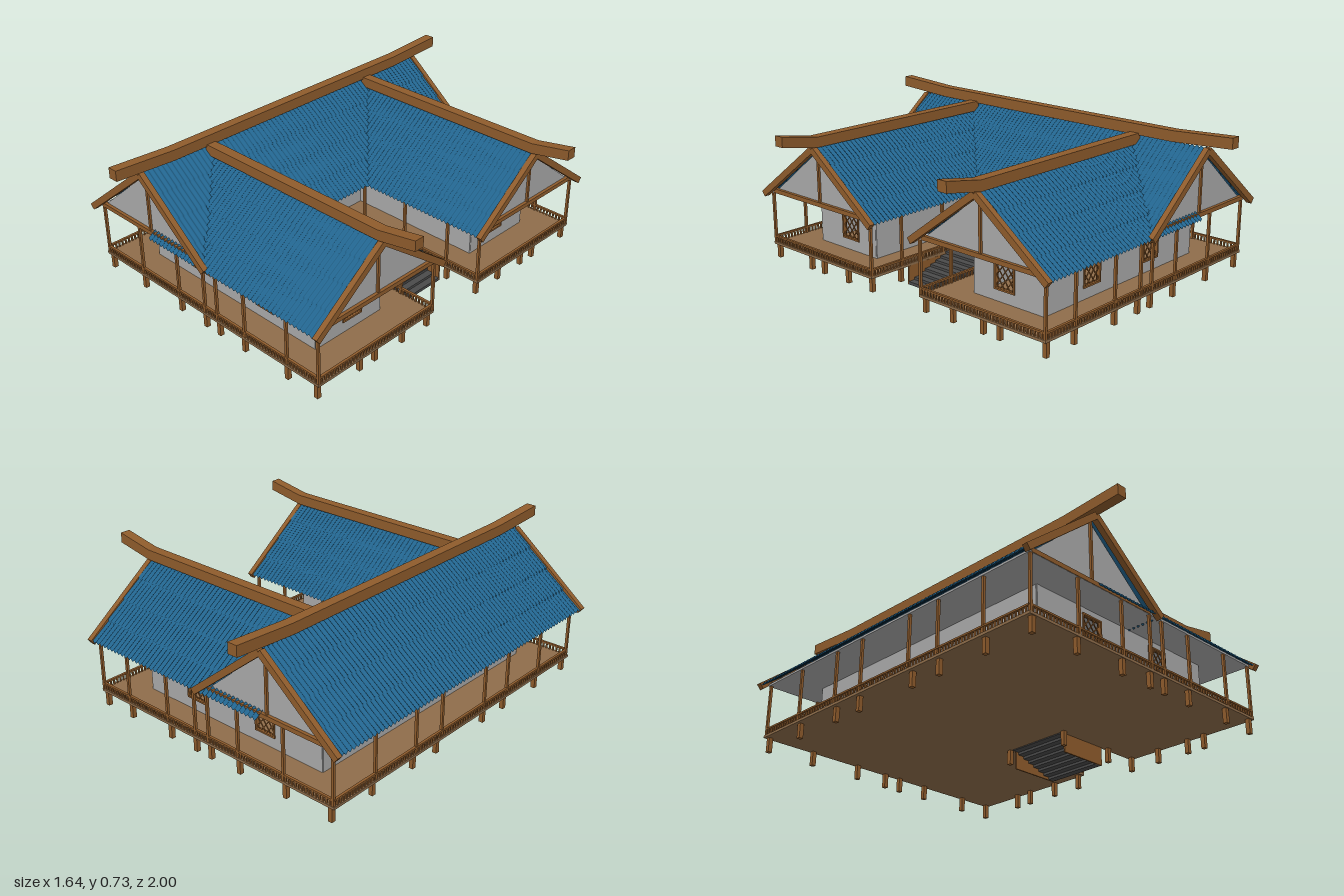
import * as THREE from 'three';
import { mergeGeometries } from 'three/addons/utils/BufferGeometryUtils.js';

const mat = (color, side = THREE.FrontSide) => new THREE.MeshStandardMaterial({ color, side });
const wood = mat(0x8f5c2c), boards = mat(0x8f6d4a), plaster = mat(0xaaaaaa), stone = mat(0x4a4a4a);
const tiles = mat(0x22658f, THREE.DoubleSide);
const MX = -0.42, WZ = 0.497; // ridge line of the main hall (x) and of the wings (z)

export function createModel() {
  const root = new THREE.Group();

  const add = (name, geo, material, parent = root) => {
    const m = new THREE.Mesh(geo, material);
    m.name = name;
    parent.add(m);
    return m;
  };
  const box = (w, h, d, x, y, z) => new THREE.BoxGeometry(w, h, d).translate(x, y, z);
  // Box running from p to q
  const bar = (p, q, w, h) => {
    const a = new THREE.Vector3(...p), b = new THREE.Vector3(...q), o = new THREE.Object3D();
    o.position.copy(a).lerp(b, 0.5);
    o.lookAt(b);
    o.updateMatrix();
    return new THREE.BoxGeometry(w, h, a.distanceTo(b)).applyMatrix4(o.matrix);
  };
  const polygon = (pts) => new THREE.Shape(pts.map(([x, y]) => new THREE.Vector2(x, y)));
  const extrude = (shape, depth) => new THREE.ExtrudeGeometry(shape, { depth, bevelEnabled: false });

  // U-shaped deck and ceiling
  const slab = (notchX, y, h) => extrude(polygon([
    [-0.775, -0.845], [0.622, -0.845], [0.622, -0.15], [notchX, -0.15],
    [notchX, 0.15], [0.622, 0.15], [0.622, 0.845], [-0.775, 0.845]]), h)
    .rotateX(-Math.PI / 2).translate(0, y, 0);
  add('deck', slab(0.13, 0.088, 0.012), boards);
  add('ceiling', slab(-0.07, 0.345, 0.01), plaster);

  // Stilts under the deck and posts under the eaves
  const legs = [], posts = [];
  const leg = (x, z) => legs.push(box(0.02, 0.07, 0.02, x, 0.055, z));
  const post = (x, z) => posts.push(box(0.012, 0.25, 0.012, x, 0.225, z));
  for (const s of [-1, 1]) {
    for (const x of [-0.75, -0.51, -0.25, -0.08, 0.01, 0.17, 0.43, 0.6]) leg(x, s * 0.83);
    for (const x of [0.13, 0.43, 0.6]) leg(x, s * 0.17);
    for (const z of [0.59, 0.33, 0.17]) leg(-0.75, s * z);
    for (const z of [0.59, 0.5, 0.33]) leg(0.6, s * z);
    for (const x of [-0.765, -0.505, -0.25, -0.075, 0.005, 0.18, 0.435, 0.615]) post(x, s * 0.838);
    for (const x of [-0.075, 0.18, 0.435, 0.615]) post(x, s * 0.155);
    for (const z of [0.59, 0.33, 0.155]) post(-0.765, s * z);
  }
  add('stilts', mergeGeometries(legs), wood);
  add('verandaPosts', mergeGeometries(posts), wood);

  // Low railing with balusters
  const rails = [];
  const railing = (x0, z0, x1, z1) => {
    rails.push(bar([x0, 0.128, z0], [x1, 0.128, z1], 0.012, 0.008));
    const n = Math.round(Math.hypot(x1 - x0, z1 - z0) / 0.018);
    for (let i = 0; i <= n; i++) {
      const t = i / n;
      rails.push(box(0.007, 0.03, 0.007, x0 + (x1 - x0) * t, 0.112, z0 + (z1 - z0) * t));
    }
  };
  railing(-0.768, -0.838, -0.768, 0.838);
  for (const s of [-1, 1]) {
    railing(-0.768, s * 0.838, 0.615, s * 0.838);
    railing(0.615, s * 0.838, 0.615, s * 0.155);
    railing(0.14, s * 0.155, 0.615, s * 0.155);
  }
  add('railing', mergeGeometries(rails), wood);

  // Courtyard steps between two side boards
  const steps = [];
  for (let i = 0; i < 8; i++) steps.push(box(0.036, 0.014, 0.3, 0.147 + i * 0.0337, 0.09 - i * 0.0117, 0));
  add('steps', mergeGeometries(steps), stone);
  for (const s of [-1, 1]) add('stairSide', box(0.25, 0.088, 0.007, 0.275, 0.044, s * 0.153), wood);

  // Lattice window in the local xy plane, centred on the opening
  const W = 0.105, H = 0.16, WY = 0.235;
  const windowGeo = () => {
    const parts = [];
    for (const s of [-1, 1]) {
      parts.push(box(0.008, H + 0.008, 0.02, s * W / 2, 0, 0), box(W, 0.008, 0.02, 0, s * H / 2, 0));
      for (let i = -3; i <= 3; i++) {
        // Clip each diagonal to the opening
        const k = 1.35, c = i * 0.042;
        const ys = [-W / 2, W / 2].map((x) => Math.max(-H / 2, Math.min(H / 2, k * x + c)));
        if (ys[1] - ys[0] < 0.01) continue;
        const [p, q] = ys.map((y) => [s * (y - c) / k, y, 0]);
        parts.push(bar(p, q, 0.004, 0.004));
      }
    }
    return mergeGeometries(parts);
  };

  // Wall panel with window openings; windows are offsets along the wall
  const wall = (name, length, x, z, angle, windows = []) => {
    const g = new THREE.Group();
    g.name = name;
    g.position.set(x, 0, z);
    g.rotation.y = angle;
    root.add(g);
    const L = length / 2;
    const shape = polygon([[-L, 0.1], [L, 0.1], [L, 0.35], [-L, 0.35]]);
    for (const u of windows) {
      shape.holes.push(polygon([[u - W / 2, WY - H / 2], [u - W / 2, WY + H / 2],
        [u + W / 2, WY + H / 2], [u + W / 2, WY - H / 2]]));
      add('latticeWindow', windowGeo().translate(u, WY, 0), wood, g);
    }
    add('wallPanel', extrude(shape, 0.01).translate(0, 0, -0.005), plaster, g);
  };
  wall('backWall', 1.38, -0.578, 0, Math.PI / 2);
  wall('courtyardWall', 0.63, -0.25, 0, Math.PI / 2);
  for (const s of [-1, 1]) {
    wall('outerWall', 1.03, -0.065, s * 0.69, 0, [-0.2, 0.215]);
    wall('innerWall', 0.7, 0.1, s * 0.31, 0);
    wall('wingEndWall', 0.38, 0.447, s * 0.5, Math.PI / 2, [s * 0.02]);
  }
  add('doorFrame', mergeGeometries([
    box(0.02, 0.155, 0.008, -0.245, 0.175, 0.045), box(0.02, 0.155, 0.008, -0.245, 0.175, -0.045),
    box(0.02, 0.008, 0.098, -0.245, 0.25, 0)]), wood);

  // Tiled slope: ribs run down the slope, rows overlap in steps.
  // Ridge along local x, falling towards local +z.
  const slope = (name, length, run, ridgeY, eaveY, x, z, angle) => {
    const rows = 4, pitch = 0.024, n = Math.round(length / pitch) * 6;
    const pos = [], idx = [];
    for (let r = 0; r < rows; r++) {
      for (const e of [0, 1]) {
        for (let i = 0; i <= n; i++) {
          const t = (r + e) / rows;
          const a = (i / n - 0.5) * length;
          const bump = 0.005 * Math.cos((i / 6) * 2 * Math.PI) + e * 0.009;
          pos.push(a, ridgeY + (eaveY - ridgeY) * t + bump, run * t);
        }
      }
    }
    for (let j = 0; j < rows * 2 - 1; j++) {
      for (let i = 0; i < n; i++) {
        const a = j * (n + 1) + i, b = a + n + 1;
        idx.push(a, b, a + 1, a + 1, b, b + 1);
      }
    }
    const g = new THREE.BufferGeometry();
    g.setAttribute('position', new THREE.Float32BufferAttribute(pos, 3));
    g.setIndex(idx);
    g.computeVertexNormals();
    const m = add(name, g, tiles);
    m.position.set(x, 0, z);
    m.rotation.y = angle;
  };
  for (const s of [-1, 1]) {
    slope('mainRoof', 1.71, 0.39, 0.66, 0.335, MX, 0, s * Math.PI / 2);
    for (const a of [0, Math.PI]) slope('wingRoof', 1.02, 0.373, 0.625, 0.335, 0.115, s * WZ, a);
  }

  // Gable facing local +z: wall, bargeboards, tie beam and king post
  const gable = (name, apex, run, x, z, angle) => {
    const g = new THREE.Group();
    g.name = name;
    g.position.set(x, 0, z);
    g.rotation.y = angle;
    root.add(g);
    const top = apex - 0.03, half = run - 0.045;
    add('gableWall', extrude(polygon([[-half, 0.35], [half, 0.35], [0, top]]), 0.01).translate(0, 0, -0.04), plaster, g);
    const parts = [box(half * 2, 0.02, 0.02, 0, 0.356, -0.025), box(0.012, top - 0.36, 0.014, 0, (top + 0.36) / 2, -0.027)];
    for (const s of [-1, 1]) parts.push(bar([0, apex - 0.019, 0], [s * run, 0.338, 0], 0.026, 0.03));
    add('gableTimbers', mergeGeometries(parts), wood, g);
  };
  for (const s of [-1, 1]) {
    gable('mainGable', 0.67, 0.39, MX, s * 0.862, s > 0 ? 0 : Math.PI);
    gable('wingGable', 0.635, 0.373, 0.638, s * WZ, Math.PI / 2);
  }

  // Ridge beams with upswept ends
  const beam = (pts, h) => extrude(polygon([...pts, ...pts.map(([x, y]) => [x, y + h]).reverse()]), 0.048).translate(0, 0, -0.024);
  add('mainRidgeBeam', beam([[-1, 0.682], [-0.7, 0.665], [0.7, 0.665], [1, 0.682]], 0.05).rotateY(Math.PI / 2), wood)
    .position.x = -0.414;
  for (const s of [-1, 1]) {
    add('wingRidgeBeam', beam([[-0.4, 0.626], [0.63, 0.626], [0.82, 0.66]], 0.048), wood).position.z = s * WZ;
  }
  return root;
}
